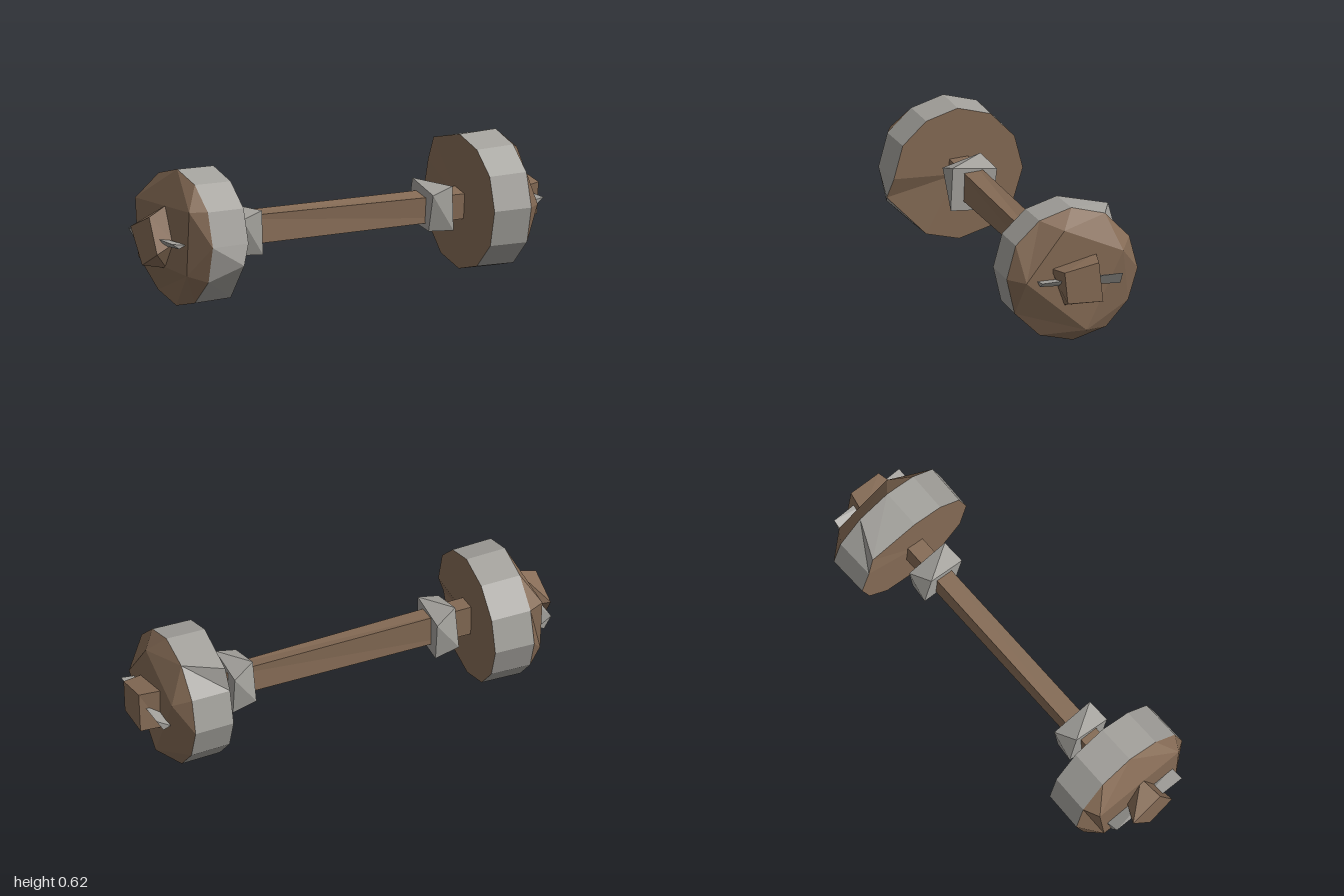
import * as THREE from 'three';
import { ConvexGeometry } from 'three/addons/geometries/ConvexGeometry.js';

const brown = new THREE.MeshStandardMaterial({ color: 0x856b55, flatShading: true });
const grey = new THREE.MeshStandardMaterial({ color: 0xa3a19c, flatShading: true });

// Rings are [x, [[z, y], ...]] in order of rising x, corners counter-clockwise seen from +x.
function loft(rings, capStart = true, capEnd = true) {
  const pts = rings.map(([x, ring]) => ring.map(([z, y, dx = 0]) => new THREE.Vector3(x + dx, y, z)));
  const out = [];
  const tri = (a, b, c) => {
    if (new THREE.Triangle(a, b, c).getArea() > 1e-7) for (const p of [a, b, c]) out.push(p);
  };
  const n = pts[0].length;
  const middle = ring => ring.reduce((s, p) => s.add(p), new THREE.Vector3()).divideScalar(n);
  const first = pts[0], last = pts[pts.length - 1];
  const c0 = middle(first), c1 = middle(last);
  for (let i = 0; i < n; i++) {
    const j = (i + 1) % n;
    for (let k = 0; k + 1 < pts.length; k++) {
      tri(pts[k][i], pts[k][j], pts[k + 1][j]);
      tri(pts[k][i], pts[k + 1][j], pts[k + 1][i]);
    }
    if (capStart) tri(c0, first[j], first[i]);
    if (capEnd) tri(c1, last[i], last[j]);
  }
  const geometry = new THREE.BufferGeometry().setFromPoints(out);
  geometry.computeVertexNormals();
  return geometry;
}

// Uneven twelve-sided wheel outline
const outline = [
  [-0.005, 0.625], [0.147, 0.58], [0.26, 0.475], [0.303, 0.32], [0.265, 0.155], [0.147, 0.04],
  [-0.012, 0], [-0.17, 0.045], [-0.275, 0.16], [-0.32, 0.305], [-0.28, 0.46], [-0.165, 0.58],
];

// Each rim corner runs to the nearest corner of the four-sided outer face
const snapTo = quad => outline.map(([z, y]) => quad.reduce((best, q) =>
  Math.hypot(q[0] - z, q[1] - y) < Math.hypot(best[0] - z, best[1] - y) ? q : best));

export function createModel() {
  const model = new THREE.Group();
  const add = (name, geometry, material, parent = model) => {
    const mesh = new THREE.Mesh(geometry, material);
    mesh.name = name;
    parent.add(mesh);
  };

  // Slightly twisted axle
  add('axle', loft([
    [-0.68, [[0.035, 0.385], [0.04, 0.25], [-0.05, 0.24], [-0.055, 0.39]]],
    [0.68, [[0.04, 0.355], [0.03, 0.24], [-0.055, 0.25], [-0.045, 0.375]]],
  ]), brown);

  // Twisted collars on the axle
  for (const x of [-0.5, 0.495]) {
    add(x < 0 ? 'rightCollar' : 'leftCollar', loft([
      [x - 0.053, [[0.1, 0.38], [0.06, 0.21], [-0.12, 0.24], [-0.08, 0.43]]],
      [x + 0.053, [[0.09, 0.41], [0.1, 0.21], [-0.1, 0.195], [-0.12, 0.385]]],
    ]), grey);
  }

  for (const side of [1, -1]) {
    const wheel = new THREE.Group();
    wheel.name = side > 0 ? 'leftWheel' : 'rightWheel';
    model.add(wheel);
    const part = (name, rings, material, caps = [true, true]) => side > 0
      ? add(name, loft(rings, caps[0], caps[1]), material, wheel)
      : add(name, loft([...rings].reverse(), caps[1], caps[0]), material, wheel);

    // Wheel: grey rim with one knocked-out corner, brown faces
    const inner = outline.map(([z, y]) => [z * 0.985, 0.3125 + (y - 0.3125) * 0.985]);
    if (side > 0) inner[11] = [-0.245, 0.563, 0.01];
    else inner[4] = [0.32, 0.225, -0.035];
    const quad = side > 0
      ? [[0.055, 0.545], [0.235, 0.315], [-0.05, 0.065], [-0.225, 0.42]]
      : [[0.22, 0.475], [0.2, 0.18], [-0.22, 0.2], [-0.245, 0.46]];
    const hubLine = outline.map(() => [0, 0.31]);
    part('rim', [[0.643 * side, inner], [0.832 * side, outline]], grey, [false, false]);
    part('innerFace', [[0.643 * side, hubLine], [0.643 * side, inner]], brown, [false, false]);
    part('outerFace', [[0.832 * side, outline], [0.906 * side, snapTo(quad)]], brown, [false, true]);

    // Hub block at the axle end
    part('hub', side > 0 ? [
      [0.89, [[0.115, 0.37], [0.052, 0.19], [-0.105, 0.225], [-0.1, 0.42]]],
      [1, [[0.088, 0.38], [0.073, 0.232], [-0.095, 0.225], [-0.075, 0.41]]],
    ] : [
      [-0.89, [[0.01, 0.475], [0.075, 0.31], [0, 0.18], [-0.075, 0.33]]],
      [-1, [[0.03, 0.43], [0.1, 0.27], [-0.03, 0.2], [-0.13, 0.36]]],
    ], brown);

    // Thin three-cornered linchpin through the hub
    const pin = [
      [0.9, 0.32, 0.183], [0.97, 0.33, 0.183], [0.935, 0.305, 0.183],
      [0.9, 0.295, -0.2], [0.97, 0.338, -0.2], [0.935, 0.28, -0.2],
    ].map(([x, y, z]) => new THREE.Vector3(x * side, y, z));
    add('linchpin', new ConvexGeometry(pin), grey, wheel);
  }
  return model;
}
